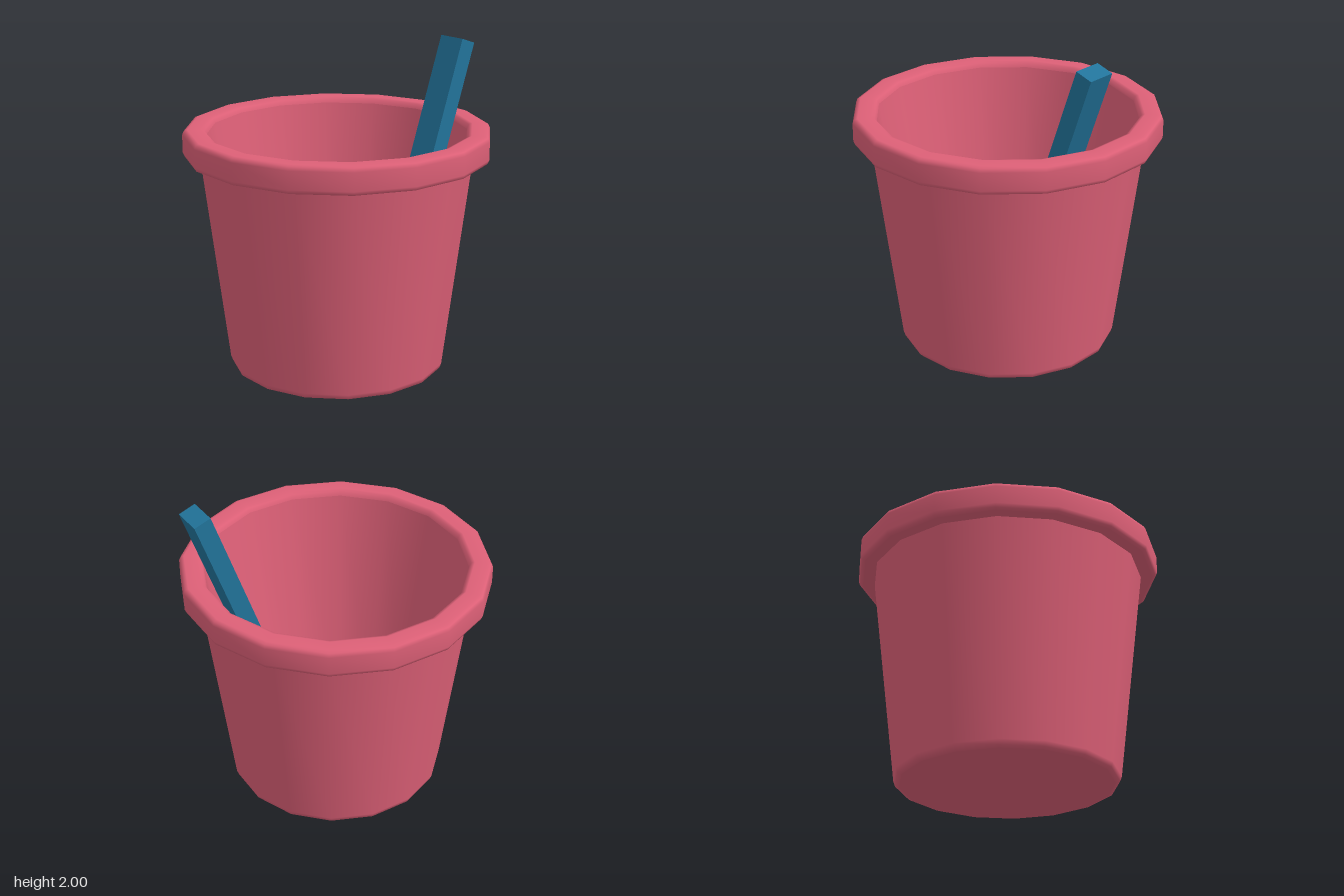
import * as THREE from 'three';

const V = (x, y) => new THREE.Vector2(x, y);

// Blade of the spade: three six-column sections lofted into a shallow scoop
function bladeGeometry() {
  const width = [-0.385, -0.29, -0.093, 0.093, 0.29, 0.385];
  const front = [-0.05, 0, 0, 0, 0, -0.05];
  const back = [0.11, 0.11, 0.11, 0.11, 0.1, 0.03];
  const top = [-0.09, -0.06, 0, 0, -0.06, -0.09];
  const rows = [
    { scale: 1, y: (i) => top[i], shift: 0 },
    { scale: 0.85, y: () => -0.57, shift: 0 },
    { scale: 0.6, y: () => -0.72, shift: 0.05 },
  ];
  const n = width.length;
  const rings = rows.map((r) => {
    const f = width.map((w, i) => [front[i] + r.shift, r.y(i), w * r.scale]);
    const b = width.map((w, i) => [back[i], r.y(i), w * r.scale]).reverse();
    return [...f, ...b];
  });
  const pos = [];
  const quad = (a, b, c, d) => pos.push(...a, ...b, ...c, ...a, ...c, ...d);
  for (let r = 0; r < 2; r++) {
    for (let i = 0; i < 2 * n; i++) {
      const j = (i + 1) % (2 * n);
      quad(rings[r][i], rings[r + 1][i], rings[r + 1][j], rings[r][j]);
    }
  }
  // End caps
  const t = rings[0], e = rings[2];
  for (let i = 0; i < n - 1; i++) {
    const k = 2 * n - 1 - i;
    quad(t[i], t[i + 1], t[k - 1], t[k]);
    quad(e[i], e[k], e[k - 1], e[i + 1]);
  }
  const g = new THREE.BufferGeometry();
  g.setAttribute('position', new THREE.Float32BufferAttribute(pos, 3));
  g.computeVertexNormals();
  return g;
}

export function createModel() {
  const model = new THREE.Group();
  const pink = new THREE.MeshStandardMaterial({ color: 0xdd6077 });
  pink.name = 'pink';
  const blue = new THREE.MeshStandardMaterial({ color: 0x22749b });
  blue.name = 'blue';

  const add = (parent, name, geometry, material) => {
    const mesh = new THREE.Mesh(geometry, material);
    mesh.name = name;
    parent.add(mesh);
    return mesh;
  };

  // Bucket: sixteen-sided turned parts, split where the edges are sharp
  const bucket = new THREE.Group();
  bucket.name = 'bucket';
  model.add(bucket);
  const turned = (name, points) => add(bucket, name, new THREE.LatheGeometry(points, 16), pink);
  turned('base', [V(0, 0), V(0.64, 0)]);
  turned('outerWall', [V(0.64, 0), V(0.665, 0.01), V(0.676, 0.04), V(0.838, 1.35)]);
  turned('rimUnderside', [V(0.835, 1.345), V(0.91, 1.345)]);
  turned('rim', [
    V(0.91, 1.345), V(0.93, 1.352), V(0.94, 1.375), V(0.94, 1.485),
    V(0.93, 1.508), V(0.91, 1.516), V(0.83, 1.516), V(0.808, 1.508), V(0.797, 1.48),
  ]);
  turned('innerWall', [V(0.797, 1.48), V(0.57, 0.12)]);
  turned('floor', [V(0.57, 0.12), V(0, 0.12)]);

  // Spade leaning against the rim
  const spade = new THREE.Group();
  spade.name = 'spade';
  spade.position.set(0.41, 0.87, 0.114);
  spade.rotation.set(0, 0.218, -0.33, 'YXZ');
  model.add(spade);
  const handle = add(spade, 'handle', new THREE.BoxGeometry(0.11, 1.195, 0.186), blue);
  handle.position.set(0.055, 0.5975, 0);
  add(spade, 'blade', bladeGeometry(), blue);

  return model;
}
